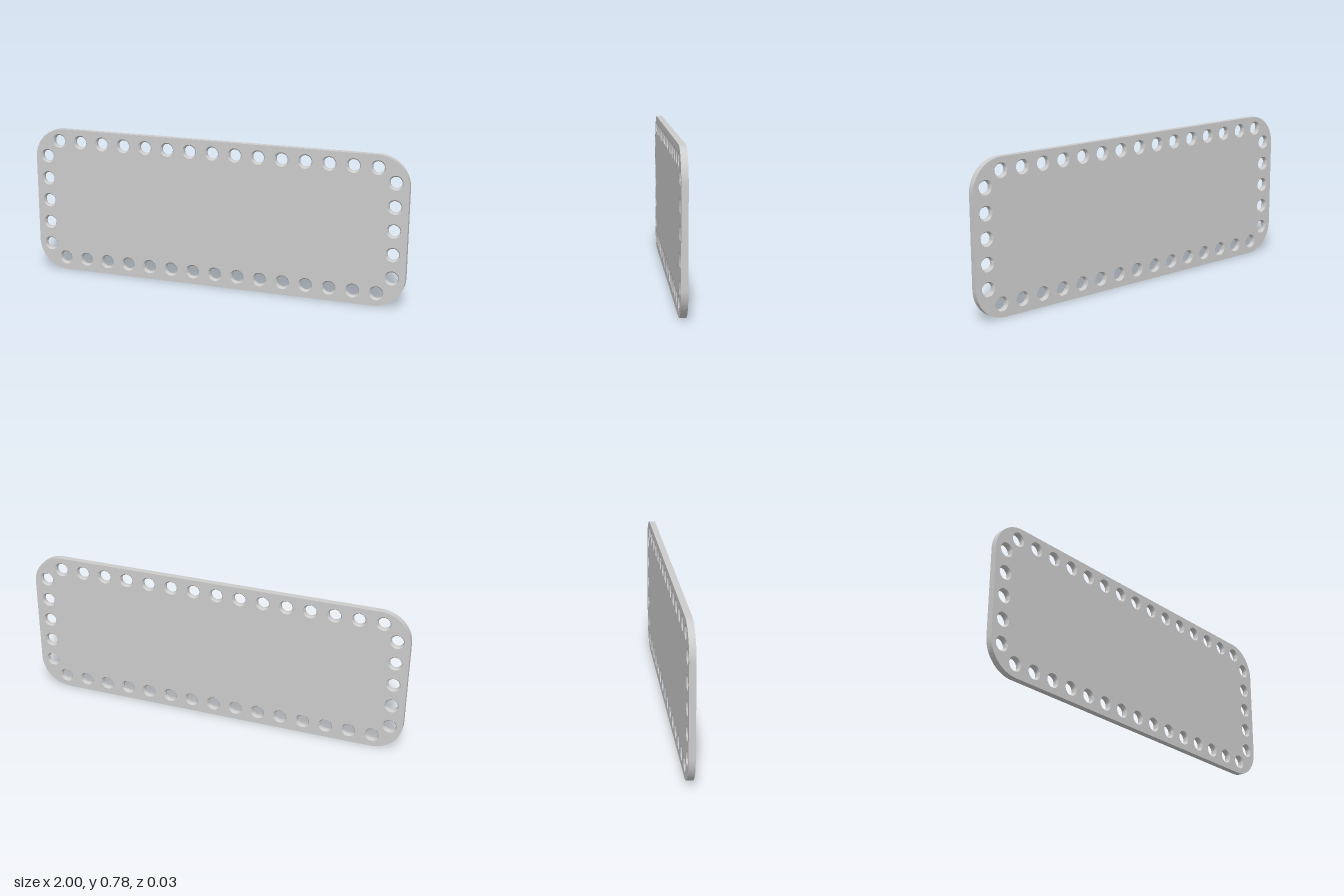
import * as THREE from 'three';
import { mergeGeometries, toCreasedNormals } from 'three/addons/utils/BufferGeometryUtils.js';

const W = 2, H = 0.777, T = 0.032, R = 0.16; // plate size and corner radius
const OUTER = 0.037, INNER = 0.03, BEVEL = 0.009; // hole mouth, bore, chamfer depth

// Rounded rectangle, counter-clockwise
function plateOutline() {
  const s = new THREE.Shape();
  const x = W / 2 - R;
  s.absarc(x, R, R, -Math.PI / 2, 0);
  s.absarc(x, H - R, R, 0, Math.PI / 2);
  s.absarc(-x, H - R, R, Math.PI / 2, Math.PI);
  s.absarc(-x, R, R, Math.PI, Math.PI * 1.5);
  s.closePath();
  return s;
}

// Evenly spaced hole centres along each side
function holeCentres() {
  const list = [];
  const row = (n, x0, y0, x1, y1) => {
    for (let i = 0; i < n; i++) {
      const t = i / (n - 1);
      list.push([x0 + (x1 - x0) * t, y0 + (y1 - y0) * t]);
    }
  };
  row(15, -0.863, 0.713, 0.843, 0.713);
  row(15, -0.847, 0.068, 0.857, 0.068);
  row(5, -0.934, 0.139, -0.934, 0.627);
  row(5, 0.932, 0.155, 0.932, 0.643);
  return list;
}

// Wall swept along the outline between back and front
function rimGeometry(shape) {
  const pts = shape.getPoints(12);
  const pos = [], index = [];
  pts.forEach((p, i) => {
    pos.push(p.x, p.y, -T / 2, p.x, p.y, T / 2);
    if (i < pts.length - 1) {
      const a = i * 2;
      index.push(a, a + 2, a + 3, a, a + 3, a + 1);
    }
  });
  const g = new THREE.BufferGeometry();
  g.setAttribute('position', new THREE.Float32BufferAttribute(pos, 3));
  g.setIndex(index);
  g.computeVertexNormals();
  return toCreasedNormals(g, 0.5);
}

export function createModel() {
  const group = new THREE.Group();
  group.name = 'perforatedPlate';
  const material = new THREE.MeshStandardMaterial({ color: 0xcccccc });
  const add = (name, geometry) => {
    const mesh = new THREE.Mesh(geometry, material);
    mesh.name = name;
    group.add(mesh);
    return mesh;
  };

  const shape = plateOutline();
  const centres = holeCentres();
  add('rim', rimGeometry(shape));

  // Front and back faces
  for (const [x, y] of centres) {
    const hole = new THREE.Path();
    hole.absarc(x, y, OUTER, 0, Math.PI * 2, true);
    shape.holes.push(hole);
  }
  const face = new THREE.ShapeGeometry(shape, 12);
  add('frontFace', face).position.z = T / 2;
  // Mirrored in x, then turned round, so the holes line up
  const back = face.clone().scale(-1, 1, 1);
  const idx = back.index;
  for (let i = 0; i < idx.count; i += 3) {
    const a = idx.getX(i);
    idx.setX(i, idx.getX(i + 1));
    idx.setX(i + 1, a);
  }
  const backFace = add('backFace', back);
  backFace.rotation.y = Math.PI;
  backFace.position.z = -T / 2;

  // Hole walls: bore with a chamfer at both mouths, facing inward
  const profile = [
    [OUTER, T / 2], [INNER, T / 2 - BEVEL], [INNER, BEVEL - T / 2], [OUTER, -T / 2],
  ].map(([r, y]) => new THREE.Vector2(r, y));
  const wall = toCreasedNormals(new THREE.LatheGeometry(profile, 24).rotateX(Math.PI / 2), 0.5);
  add('holeWalls', mergeGeometries(centres.map(([x, y]) => wall.clone().translate(x, y, 0))));

  return group;
}
